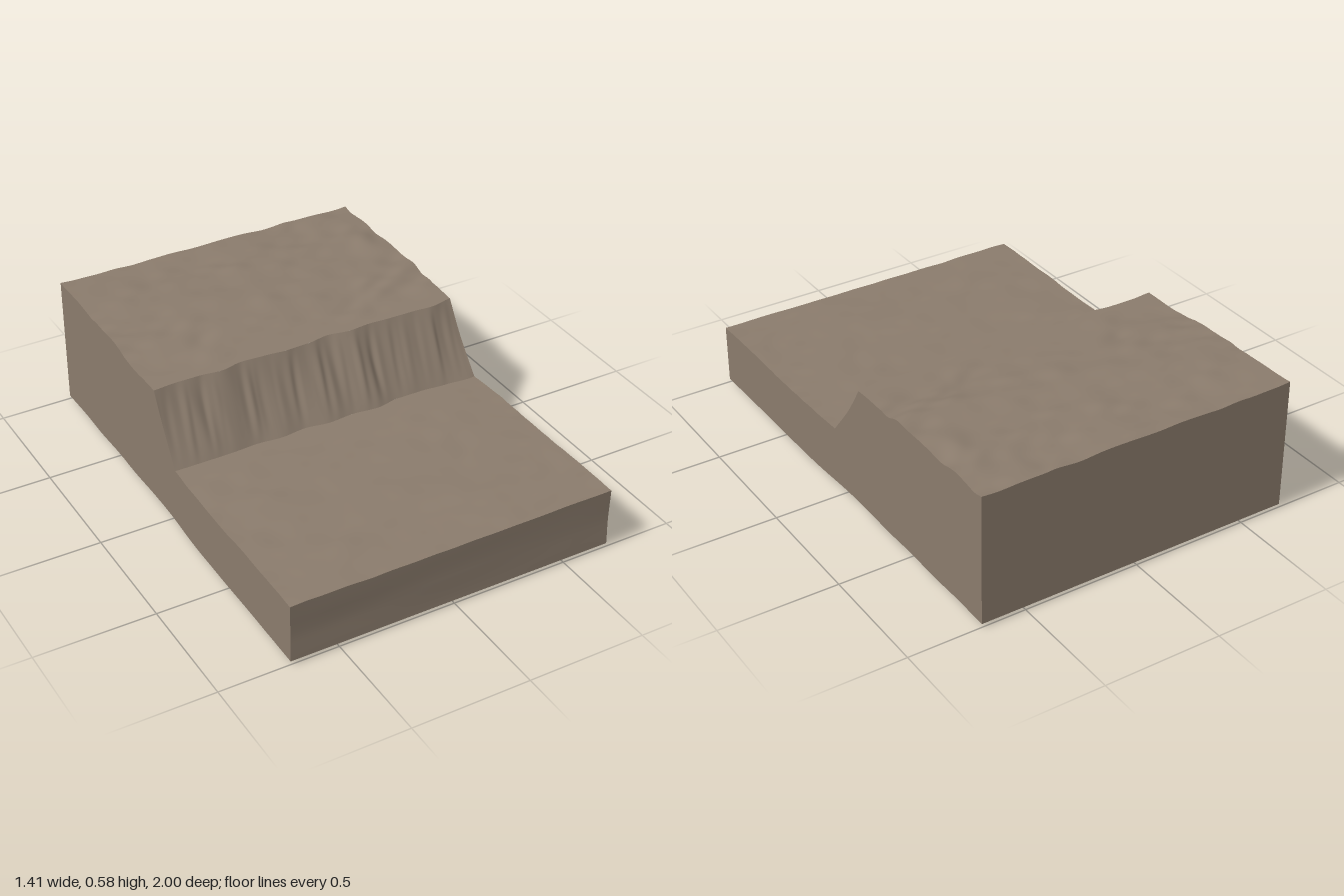
import * as THREE from 'three';

const { lerp, smoothstep, clamp } = THREE.MathUtils;

// Seeded smooth value noise in the range -1..1
const hash = (i, j) => {
  const s = Math.sin(i * 127.1 + j * 311.7) * 43758.5453;
  return (s - Math.floor(s)) * 2 - 1;
};
function noise(x, y) {
  const i = Math.floor(x), j = Math.floor(y);
  const a = smoothstep(x - i, 0, 1), b = smoothstep(y - j, 0, 1);
  return lerp(lerp(hash(i, j), hash(i + 1, j), a), lerp(hash(i, j + 1), hash(i + 1, j + 1), a), b);
}

// Grid surface from a rule f(u, v) -> [x, y, z]; it faces along du x dv
function sheet(nu, nv, f) {
  const pos = [], idx = [];
  for (let j = 0; j <= nv; j++) for (let i = 0; i <= nu; i++) pos.push(...f(i / nu, j / nv));
  for (let j = 0; j < nv; j++) for (let i = 0; i < nu; i++) {
    const a = j * (nu + 1) + i, b = a + 1, c = a + nu + 1, d = c + 1;
    idx.push(a, b, d, a, d, c);
  }
  const g = new THREE.BufferGeometry();
  g.setAttribute('position', new THREE.Float32BufferAttribute(pos, 3));
  g.setIndex(idx);
  g.computeVertexNormals();
  return g;
}

// Plan outline: slightly wider at the front
const half = (z) => lerp(0.688, 0.702, smoothstep(z, -0.1, 0.35)) + 0.002 * noise(z * 6, 4);
const EDGE = 0.015;

// Foot and lip lines of the cliff
const footZ = (x) => 0.058 + 0.01 * noise(x * 9, 20);
const lipZ = (x) => -0.122 + 0.012 * noise(x * 10, 31);

// Ground heights
const bumps = (x, z) => {
  const w = 0.7 * noise(x * 4 + 9, z * 4);
  return 0.65 * noise(x * 5 + w, z * 9 + w) + 0.35 * noise(x * 11 + 3, z * 17 + w);
};
const lowY = (x, z) => 0.269 + 0.006 * bumps(x, z) * smoothstep(z, 0.05, 0.2);
const highY = (x, z) => 0.545 + 0.027 * smoothstep(-z, 0.12, 0.6)
  + 0.013 * bumps(x, z + 5) * smoothstep(-z, 0.11, 0.3);

// The three stretches of the top, each running from front to back
const lower = (x, v) => {
  const z = lerp(1, footZ(x), v);
  return [x * half(z) / 0.7, lowY(x, z), z];
};
const cliff = (x, v) => {
  const f = footZ(x), l = lipZ(x), y0 = lowY(x, f), y1 = highY(x, l);
  const flute = 0.009 * noise(x * 17 + v * 0.6, 50) + 0.007 * noise(x * 38 - v, 60);
  const z = lerp(f, l, v) + Math.sin(Math.PI * v) * (flute - 0.004);
  return [x * half(z) / 0.7, lerp(y0, y1, v), z];
};
const upper = (x, v) => {
  const z = lerp(lipZ(x), -1, v);
  return [x * half(z) / 0.7, highY(x, z), z];
};
const toX = (u) => lerp(-0.7, 0.7, u);
const N = 110;

// Whole top profile along one side, t = 0 (front) to 1 (back)
const profile = (x, t) => {
  const s = clamp(t * 3, 0, 3);
  return s <= 1 ? lower(x, s) : s <= 2 ? cliff(x, s - 1) : upper(x, s - 2);
};

export function createModel() {
  const group = new THREE.Group();
  const earth = new THREE.MeshStandardMaterial({ color: 0x8a7b6c });
  earth.name = 'earth brown';
  const dark = new THREE.MeshStandardMaterial({ color: 0x14130b });
  dark.name = 'dark underside';
  const add = (name, geometry, material = earth) => {
    const mesh = new THREE.Mesh(geometry, material);
    mesh.name = name;
    group.add(mesh);
  };

  // Terrain top
  add('lowerGround', sheet(N, 80, (u, v) => lower(toX(u), v)));
  add('cliffFace', sheet(N * 2, 16, (u, v) => cliff(toX(u), v)));
  add('upperGround', sheet(N, 80, (u, v) => upper(toX(u), v)));

  // Cut walls, following the terrain along their upper edge
  const wall = (p, v) => [p[0], lerp(EDGE, p[1], v), p[2]];
  add('frontWall', sheet(N, 6, (u, v) => {
    const p = wall(lower(toX(u), 0), v);
    p[2] -= 0.004 * Math.sin(Math.PI * v) * (1 + noise(p[0] * 2, v * 5));
    return p;
  }));
  add('backWall', sheet(N, 6, (u, v) => wall(upper(toX(1 - u), 1), v)));
  add('leftWall', sheet(240, 4, (u, v) => wall(profile(0.7, u), v)));
  add('rightWall', sheet(240, 4, (u, v) => wall(profile(-0.7, 1 - u), v)));

  // Dark base with a narrow, uneven bevel around its rim
  const nu = 40, nv = 56;
  const inset = (t, n) => {
    const k = Math.round(t * n);
    return k === 0 ? -1 : k === n ? 1 : lerp(-0.985, 0.985, (k - 1) / (n - 2));
  };
  const base = sheet(nu, nv, (u, v) => {
    const a = inset(u, nu), z = inset(v, nv);
    const rim = Math.abs(a) === 1 || Math.abs(z) === 1;
    return [a * half(z), rim ? EDGE : 0.003 + 0.003 * noise(a * 7, z * 9), z];
  }).toNonIndexed();
  base.computeVertexNormals();
  add('base', base, dark);

  return group;
}
